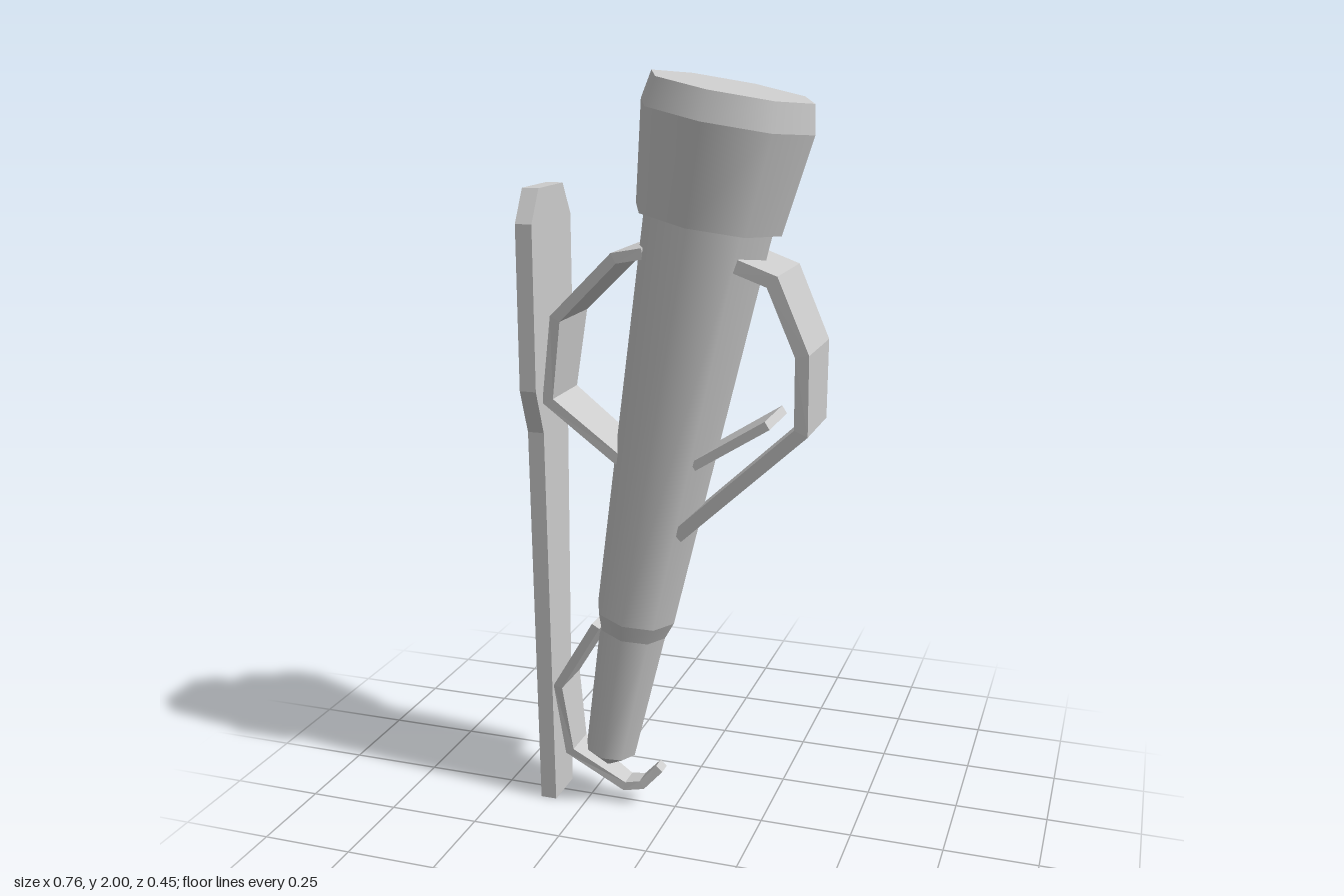
import * as THREE from 'three';

const material = () => new THREE.MeshStandardMaterial({ color: 0xcccccc });
const flatMaterial = () => new THREE.MeshStandardMaterial({ color: 0xcccccc, flatShading: true });

// Bent metal strap: points are [x, y, halfWidth] along the centre line, with mitred bends.
function strap(name, points, thickness = 0.032) {
  const p = points.map(([x, y]) => new THREE.Vector2(x, y));
  const normal = (a, b) => new THREE.Vector2(a.y - b.y, b.x - a.x).normalize();
  const rings = points.map(([x, y, w], i) => {
    const before = normal(p[Math.max(i - 1, 0)], p[Math.max(i, 1)]);
    const last = p.length - 1;
    const after = normal(p[Math.min(i, last - 1)], p[Math.min(i + 1, last)]);
    const m = before.clone().add(after).normalize();
    m.multiplyScalar(thickness / 2 / m.dot(after));
    return [[x + m.x, y + m.y, w], [x + m.x, y + m.y, -w], [x - m.x, y - m.y, -w], [x - m.x, y - m.y, w]];
  });
  const v = [];
  const quad = (a, b, c, d) => v.push(...a, ...b, ...c, ...a, ...c, ...d);
  for (let i = 0; i + 1 < rings.length; i++) {
    for (let k = 0; k < 4; k++) {
      const n = (k + 1) % 4;
      quad(rings[i][k], rings[i + 1][k], rings[i + 1][n], rings[i][n]);
    }
  }
  quad(...rings[0]);
  quad(...rings[rings.length - 1].slice().reverse());
  const geometry = new THREE.BufferGeometry();
  geometry.setAttribute('position', new THREE.Float32BufferAttribute(v, 3));
  geometry.computeVertexNormals();
  const mesh = new THREE.Mesh(geometry, flatMaterial());
  mesh.material.side = THREE.DoubleSide;
  mesh.name = name;
  return mesh;
}

// Leaning octagonal torch, made of stacked tapered sections measured from the tip.
function torch() {
  const group = new THREE.Group();
  group.name = 'torch';
  const sections = [
    // name, start, end, start radius, end radius
    ['tip', 0, 0.055, 0, 0.072],
    ['lowerHandle', 0.055, 0.43, 0.072, 0.094],
    ['handleStep', 0.43, 0.48, 0.094, 0.111],
    ['shaft', 0.48, 1.57, 0.111, 0.17],
    ['headUnderside', 1.57, 1.571, 0.16, 0.193],
    ['head', 1.571, 1.825, 0.193, 0.225],
    ['headRim', 1.825, 1.897, 0.225, 0.21],
  ];
  for (const [name, a, b, ra, rb] of sections) {
    const geometry = new THREE.CylinderGeometry(rb, ra, b - a, 8, 1, true);
    const mesh = new THREE.Mesh(geometry, name === 'tip' ? flatMaterial() : material());
    mesh.position.y = (a + b) / 2;
    mesh.name = name;
    group.add(mesh);
  }
  const top = new THREE.Mesh(new THREE.CircleGeometry(0.21, 8), material());
  top.rotation.x = -Math.PI / 2;
  top.position.y = 1.897;
  top.name = 'headTop';
  group.add(top);
  group.position.set(-0.2, 0.1, 0);
  group.rotation.z = -Math.atan2(0.345, 1.865);
  return group;
}

// Flat wall plate, wider in its upper part, with clipped top corners.
function wallPlate() {
  const side = [[0.062, 0], [0.085, 1.08], [0.13, 1.2], [0.13, 1.63], [0.08, 1.715]];
  const outline = [...side, ...side.map(([z, y]) => [-z, y]).reverse()];
  const shape = new THREE.Shape(outline.map(([z, y]) => new THREE.Vector2(z, y)));
  const geometry = new THREE.ExtrudeGeometry(shape, { depth: 0.045, bevelEnabled: false });
  geometry.rotateY(Math.PI / 2).translate(-0.38, 0, 0);
  const mesh = new THREE.Mesh(geometry, flatMaterial());
  mesh.name = 'wallPlate';
  return mesh;
}

export function createModel() {
  const model = new THREE.Group();
  model.name = 'wallTorch';
  model.add(torch(), wallPlate());
  // Bracket between the plate and the upper shaft
  model.add(strap('upperBracket', [
    [-0.05, 1.567, 0.11], [-0.127, 1.552, 0.108], [-0.292, 1.388, 0.097],
    [-0.322, 1.168, 0.085], [-0.13, 1.02, 0.075],
  ], 0.028));
  // Bracket below it, curling into a hook under the tip
  model.add(strap('lowerHook', [
    [-0.2, 0.55, 0.08], [-0.32, 0.35, 0.066], [-0.295, 0.15, 0.05],
    [-0.14, 0.055, 0.03], [-0.09, 0.065, 0.026], [-0.04, 0.12, 0.02],
  ], 0.024));
  // Outer guard with a short loose tab behind it
  model.add(strap('outerGuard', [
    [0.19, 1.547, 0.115], [0.282, 1.514, 0.114], [0.36, 1.335, 0.112],
    [0.36, 1.14, 0.106], [0.03, 0.83, 0.082],
  ], 0.035));
  model.add(strap('innerTab', [[0.075, 1.025, 0.085], [0.27, 1.15, 0.09]], 0.024));
  return model;
}
